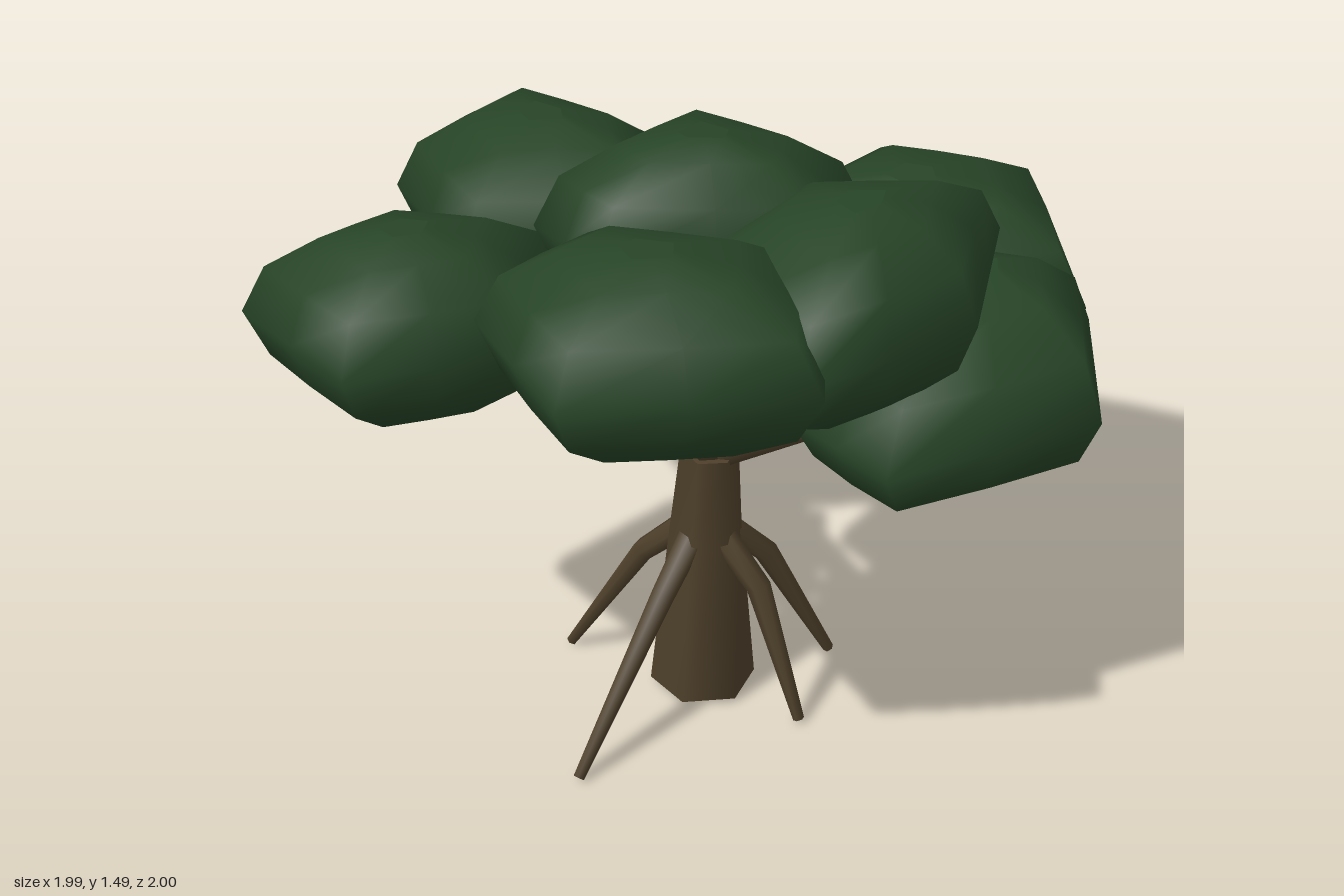
import * as THREE from 'three';

const bark = new THREE.MeshStandardMaterial({ color: 0x4d3f2a });
bark.name = 'bark brown';
const leaf = new THREE.MeshStandardMaterial({ color: 0x274427 });
leaf.name = 'leaf green';

const vec = (p) => new THREE.Vector3(...p);

// Skin a series of equal-sized rings, closing both ends with hard-edged caps
function loft(rings) {
  const n = rings[0].length;
  const pos = [];
  const index = [];
  const push = (p) => pos.push(p.x, p.y, p.z) / 3 - 1;
  rings.forEach((ring) => ring.forEach(push));
  for (let i = 0; i < rings.length - 1; i++) {
    for (let k = 0; k < n; k++) {
      const a = i * n + k, b = i * n + (k + 1) % n;
      index.push(a, a + n, b, b, a + n, b + n);
    }
  }
  [rings[0], rings[rings.length - 1]].forEach((ring, top) => {
    const mid = ring.reduce((s, p) => s.add(p), new THREE.Vector3()).divideScalar(n);
    const c = push(mid);
    const start = c + 1;
    ring.forEach(push);
    for (let k = 0; k < n; k++) {
      const a = start + k, b = start + (k + 1) % n;
      if (top) index.push(c, b, a);
      else index.push(c, a, b);
    }
  });
  const geo = new THREE.BufferGeometry();
  geo.setAttribute('position', new THREE.Float32BufferAttribute(pos, 3));
  geo.setIndex(index);
  geo.computeVertexNormals();
  return geo;
}

// Tapered wooden limb through a few points
function limb(name, path, radii, sides = 6) {
  const pts = path.map(vec);
  const ref = vec([0.3, 0.1, 1]);
  const rings = pts.map((p, i) => {
    const t = pts[Math.min(i + 1, pts.length - 1)].clone().sub(pts[Math.max(i - 1, 0)]).normalize();
    const u = ref.clone().addScaledVector(t, -ref.dot(t)).normalize();
    const v = u.clone().cross(t);
    return Array.from({ length: sides }, (_, k) => {
      const a = (k / sides) * Math.PI * 2;
      return p.clone().addScaledVector(u, Math.cos(a) * radii[i]).addScaledVector(v, Math.sin(a) * radii[i]);
    });
  });
  const mesh = new THREE.Mesh(loft(rings), bark);
  mesh.name = name;
  return mesh;
}

// Ring scale and relative height, from the underside to the crown
const profile = [[0.15, -1], [0.5, -0.9], [0.86, -0.5], [1, 0], [0.84, 0.52], [0.5, 0.86], [0.15, 1]];

// Leaf clump: a five-cornered cushion drawn in towards its core; tilt raises it along +z
function clump(name, outline, [cx, cz], y, half, tilt = 0) {
  const rings = profile.map(([scale, h]) => {
    const bulge = h === 0 ? 1 : 1.02;
    const ring = [];
    outline.forEach(([x, z], k) => {
      const [x2, z2] = outline[(k + 1) % outline.length];
      const corners = [[x, z, 1], [(x + x2) / 2, (z + z2) / 2, bulge]];
      for (const [px, pz, b] of corners) {
        const dx = (px - cx) * scale * b, dz = (pz - cz) * scale * b;
        ring.push(vec([cx + dx, y + h * half + dz * tilt, cz + dz]));
      }
    });
    return ring;
  });
  const mesh = new THREE.Mesh(loft(rings), leaf);
  mesh.name = name;
  return mesh;
}

export function createModel() {
  const tree = new THREE.Group();
  tree.name = 'tree';

  // Leaning trunk
  tree.add(limb('trunk', [[0.11, 0.02, 0.185], [0.12, 0.45, 0.185], [0.155, 0.71, 0.212]], [0.132, 0.09, 0.07]));

  // Stilt roots, bent at the knee
  const roots = new THREE.Group();
  roots.name = 'stiltRoots';
  for (const [x, z] of [[0.14, 0.69], [0.41, 0.18], [0.29, -0.11], [-0.16, -0.11], [-0.25, 0.28]]) {
    const d = Math.hypot(x - 0.12, z - 0.19);
    const ux = (x - 0.12) / d, uz = (z - 0.19) / d;
    roots.add(limb('root', [
      [0.12 + ux * 0.04, 0.47, 0.19 + uz * 0.04],
      [0.12 + ux * 0.165, 0.355, 0.19 + uz * 0.165],
      [x, 0.015, z],
    ], [0.035, 0.03, 0.014]));
  }
  tree.add(roots);

  // Branches reaching into the clumps
  const branches = new THREE.Group();
  branches.name = 'branches';
  const tips = [
    [-0.36, 1.03, 0.23], [-0.24, 1, 0.52], [0.12, 1.12, 0.2],
    [0.29, 1.12, 0.48], [0.42, 0.83, 0.12],
  ];
  for (const tip of tips) branches.add(limb('branch', [[0.15, 0.69, 0.21], tip], [0.043, 0.03]));
  tree.add(branches);

  // Canopy
  const canopy = new THREE.Group();
  canopy.name = 'canopy';
  canopy.add(
    clump('rightClump', [[-1, -0.34], [-0.41, -0.34], [-0.08, 0], [-0.47, 0.37], [-0.93, 0.15]], [-0.57, -0.02], 1.075, 0.235),
    clump('frontRightClump', [[-0.25, 0.25], [-0.02, 0.62], [-0.24, 0.98], [-0.68, 0.88], [-0.64, 0.45]], [-0.36, 0.66], 1.07, 0.22),
    clump('backClump', [[-0.14, -0.88], [0.33, -1], [0.69, -0.59], [0.32, -0.26], [-0.19, -0.37]], [0.22, -0.5], 0.925, 0.26, -0.08),
    clump('leftClump', [[0.72, -0.55], [0.99, -0.14], [0.74, 0.34], [0.41, 0.25], [0.28, -0.4]], [0.6, -0.22], 0.915, 0.245, -0.04),
    clump('upperLeftClump', [[0.62, -0.27], [0.84, 0.17], [0.71, 0.62], [0.28, 0.45], [0.2, 0.06]], [0.56, 0.2], 1.225, 0.225, -0.03),
    clump('middleClump', [[-0.22, -0.18], [0.31, -0.18], [0.48, 0.17], [0.08, 0.51], [-0.18, 0.43]], [0.12, 0.19], 1.255, 0.235, 0.05),
    clump('frontLeftClump', [[-0.01, 0.47], [0.5, 0.25], [0.78, 0.63], [0.4, 1], [-0.01, 0.8]], [0.35, 0.66], 1.225, 0.215),
  );
  tree.add(canopy);
  return tree;
}
